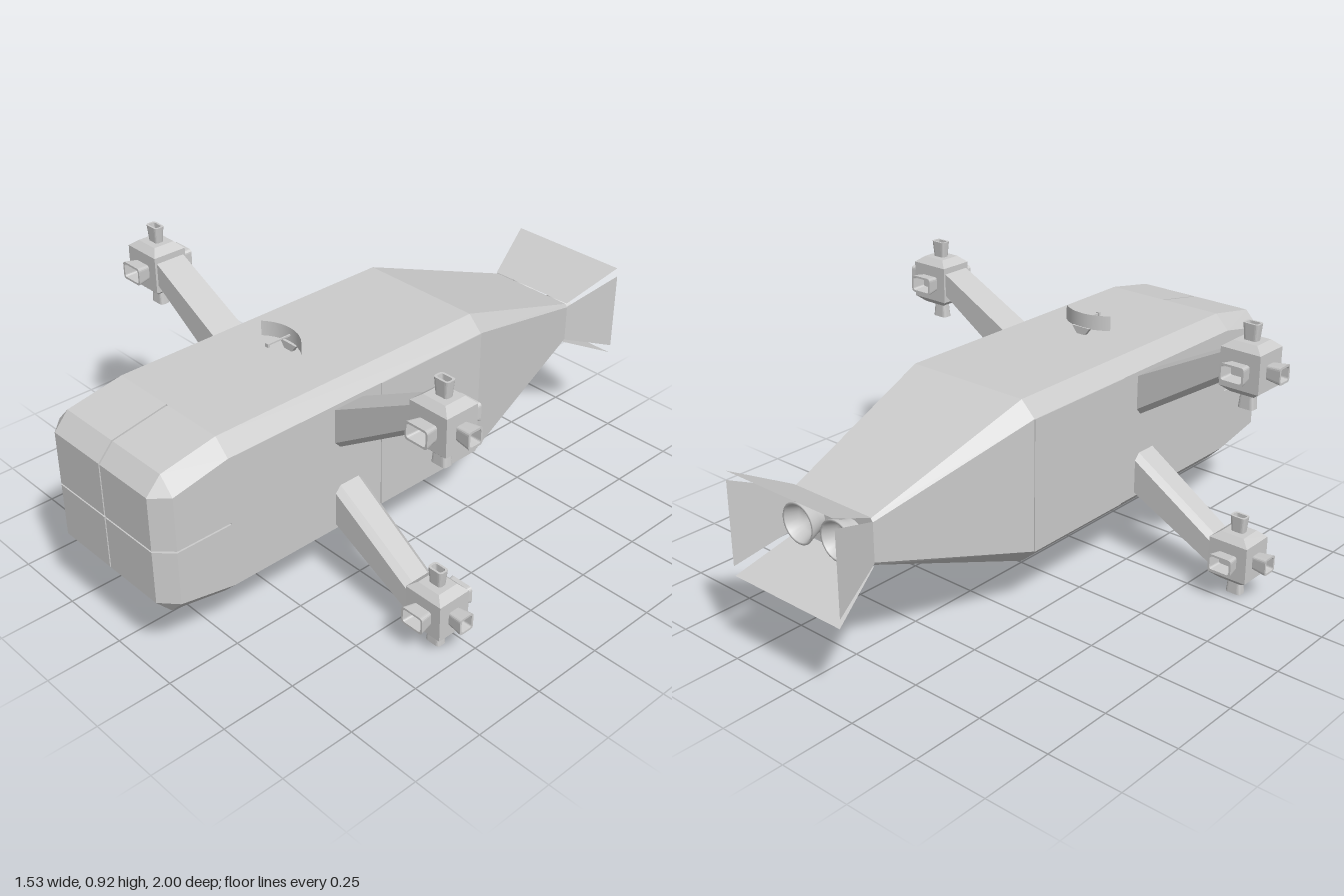
import * as THREE from 'three';
import { ConvexGeometry } from 'three/addons/geometries/ConvexGeometry.js';

const MID = 0.46; // height of the hull axis
const grey = new THREE.MeshStandardMaterial({ color: 0xcccccc, flatShading: true });
const thin = new THREE.MeshStandardMaterial({ color: 0xcccccc, side: THREE.DoubleSide });
const V = (x, y, z) => new THREE.Vector3(x, y, z);

function add(parent, name, geometry, material = grey) {
  const mesh = new THREE.Mesh(geometry, material);
  mesh.name = name;
  parent.add(mesh);
  return mesh;
}

// Chamfered cross-section: w, h outer half sizes; fw, fh half sizes of the flats
function section(z, w, h, fw, fh) {
  const pts = [];
  for (const sx of [-1, 1]) for (const sy of [-1, 1]) {
    pts.push(V(sx * w, MID + sy * fh, z), V(sx * fw, MID + sy * h, z));
  }
  return pts;
}

// One quarter of a cross-section, leaving a seam of half width g at the axes
function quarter(z, w, h, fw, fh, sx, sy, g = 0.003) {
  return [[g, g], [w, g], [w, fh], [fw, h], [g, h]].map(([x, y]) => V(sx * x, MID + sy * y, z));
}

// Hollow rounded thruster pointing along +z, flaring from its base
function thrusterGeometry(w, h, length) {
  const outline = (target, a, b, r) => {
    target.moveTo(-a + r, -b);
    target.lineTo(a - r, -b);
    target.quadraticCurveTo(a, -b, a, -b + r);
    target.lineTo(a, b - r);
    target.quadraticCurveTo(a, b, a - r, b);
    target.lineTo(-a + r, b);
    target.quadraticCurveTo(-a, b, -a, b - r);
    target.lineTo(-a, -b + r);
    target.quadraticCurveTo(-a, -b, -a + r, -b);
    return target;
  };
  const shape = outline(new THREE.Shape(), w, h, 0.012);
  shape.holes.push(outline(new THREE.Path(), w - 0.007, h - 0.007, 0.008));
  const geo = new THREE.ExtrudeGeometry(shape, { depth: length, bevelEnabled: false, curveSegments: 4 });
  const p = geo.attributes.position;
  for (let i = 0; i < p.count; i++) {
    const s = 0.8 + 0.2 * (p.getZ(i) / length);
    p.setXY(i, p.getX(i) * s, p.getY(i) * s);
  }
  geo.computeVertexNormals();
  return geo;
}

function hull(root) {
  const group = new THREE.Group();
  group.name = 'hull';
  root.add(group);
  add(group, 'mainBody', new ConvexGeometry([
    ...section(0.76, 0.27, 0.27, 0.22, 0.22),
    ...section(-0.25, 0.27, 0.27, 0.22, 0.22),
    ...section(-0.81, 0.165, 0.073, 0.157, 0.063),
  ]));
  // Nose: a slightly smaller core covered by four panels with seams between
  add(group, 'noseCore', new ConvexGeometry([
    ...section(0.755, 0.264, 0.264, 0.214, 0.214),
    ...section(0.944, 0.264, 0.229, 0.214, 0.176),
    ...section(0.994, 0.214, 0.174, 0.213, 0.173),
  ]));
  for (const sx of [-1, 1]) for (const sy of [-1, 1]) {
    add(group, 'nosePanel', new ConvexGeometry([
      ...quarter(0.76, 0.27, 0.27, 0.22, 0.22, sx, sy),
      ...quarter(0.95, 0.27, 0.235, 0.22, 0.182, sx, sy),
      ...quarter(1, 0.22, 0.18, 0.219, 0.179, sx, sy),
    ]));
  }
  // Thin plates on the rear half of both flanks
  for (const sx of [-1, 1]) {
    add(group, 'sidePlate', new THREE.BoxGeometry(0.006, 0.44, 0.43)).position.set(sx * 0.27, MID, -0.035);
  }
}

// Four flared flaps round the stern and two engine bells between them
function stern(root) {
  const group = new THREE.Group();
  group.name = 'stern';
  root.add(group);
  const flap = (name, corners) => {
    const geo = new THREE.BufferGeometry().setFromPoints([0, 1, 2, 0, 2, 3].map((i) => corners[i]));
    geo.computeVertexNormals();
    add(group, name, geo, thin);
  };
  for (const s of [-1, 1]) {
    flap('horizontalFlap', [
      V(-0.162, MID + s * 0.076, -0.81), V(0.162, MID + s * 0.076, -0.81),
      V(0.222, MID + s * 0.168, -1), V(-0.222, MID + s * 0.168, -1)]);
    flap('sideFlap', [
      V(s * 0.165, MID - 0.065, -0.81), V(s * 0.165, MID + 0.065, -0.81),
      V(s * 0.225, MID + 0.138, -1), V(s * 0.225, MID - 0.138, -1)]);
    const profile = [[0.045, 0], [0.05, 0.025], [0.066, 0.065], [0.058, 0.065], [0.042, 0.025], [0, 0.01]];
    const bell = new THREE.LatheGeometry(profile.map(([r, y]) => new THREE.Vector2(r, y)), 24);
    bell.rotateX(-Math.PI / 2);
    add(group, 'engineBell', bell, thin).position.set(s * 0.08, MID, -0.808);
  }
}

// Arm and thruster pod in one corner
function outrigger(root, sx, sy) {
  const group = new THREE.Group();
  group.name = 'outrigger';
  root.add(group);
  const z0 = 0.31;
  // Tapered arm, bevelled along the edges facing the middle
  const armEnd = (x, inner, outer, d) => [-1, 1].flatMap((s) => [
    V(sx * x, MID + sy * outer, z0 + s * d),
    V(sx * x, MID + sy * (inner + 0.022), z0 + s * d),
    V(sx * x, MID + sy * inner, z0 + s * (d - 0.02)),
  ]);
  add(group, 'arm', new ConvexGeometry([
    ...armEnd(0.24, 0.05, 0.19, 0.057),
    ...armEnd(0.59, 0.272, 0.37, 0.052),
  ]));

  const pod = new THREE.Group();
  pod.name = 'thrusterPod';
  pod.position.set(sx * 0.645, MID - 0.001 + sy * 0.322, z0);
  group.add(pod);
  const corners = [];
  for (const a of [-1, 1]) for (const b of [-1, 1]) for (const c of [-1, 1]) {
    corners.push(V(a * 0.07, b * 0.062, c * 0.06), V(a * 0.042, b * 0.083, c * 0.038));
  }
  add(pod, 'podBody', new ConvexGeometry(corners));

  const thruster = (w, h, length, rx, ry, x, y, z) => {
    const mesh = add(pod, 'thruster', thrusterGeometry(w, h, length));
    mesh.rotation.set(rx, ry, 0);
    mesh.position.set(x, y, z);
  };
  const q = Math.PI / 2;
  for (const s of [-1, 1]) {
    thruster(0.028, 0.018, 0.056, -s * q, 0, 0, s * 0.081, 0);
    thruster(0.043, 0.03, 0.047, 0, s > 0 ? 0 : Math.PI, 0, 0, s * 0.058);
  }
  thruster(0.028, 0.029, 0.052, 0, sx * q, sx * 0.068, 0, 0);
}

// Curved dish with a foot and a feed rod
function antenna(root) {
  const group = new THREE.Group();
  group.name = 'antenna';
  root.add(group);
  const R = 0.138, half = 0.73;
  add(group, 'dish', new THREE.CylinderGeometry(R, R, 0.05, 14, 1, true, Math.PI - half, 2 * half), thin)
    .position.set(0, 0.777, 0.3 + R);
  add(group, 'foot', new ConvexGeometry([[0.015, 0.728], [0.018, 0.735], [0.036, 0.755]].flatMap(
    ([x, y]) => [V(-x, y, 0.296), V(x, y, 0.296), V(-x, y, 0.31), V(x, y, 0.31)])));
  add(group, 'feedRod', new THREE.BoxGeometry(0.005, 0.005, 0.09)).position.set(0, 0.777, 0.345);
  add(group, 'feedTip', new THREE.BoxGeometry(0.014, 0.012, 0.008)).position.set(0, 0.777, 0.388);
}

export function createModel() {
  const root = new THREE.Group();
  root.name = 'spacecraft';
  hull(root);
  stern(root);
  for (const sx of [-1, 1]) for (const sy of [-1, 1]) outrigger(root, sx, sy);
  antenna(root);
  return root;
}
